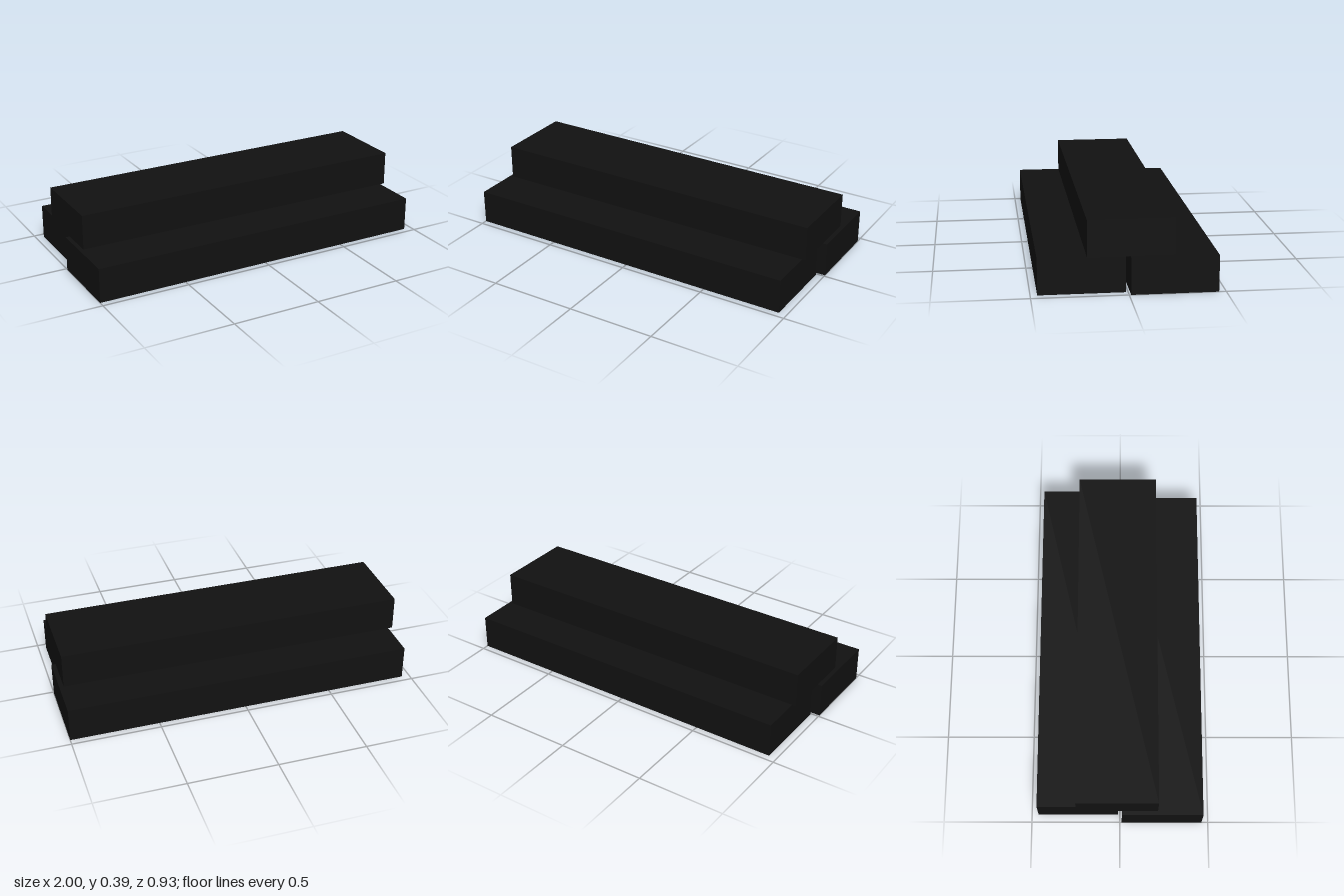
import * as THREE from 'three';

export function createModel() {
  const group = new THREE.Group();
  const material = new THREE.MeshStandardMaterial({ color: 0x111111 });

  // Three identical planks, two on the ground and one stacked across the gap
  const length = 1.955, height = 0.195, width = 0.453;
  const plank = new THREE.BoxGeometry(length, height, width);
  const places = [
    ['frontPlank', -0.0225, 0, 0.2375],
    ['backPlank', 0.0225, 0, -0.2365],
    ['topPlank', -0.001, 0.198, -0.0145],
  ];
  for (const [name, x, bottom, z] of places) {
    const mesh = new THREE.Mesh(plank, material);
    mesh.name = name;
    mesh.position.set(x, bottom + height / 2, z);
    group.add(mesh);
  }
  return group;
}
